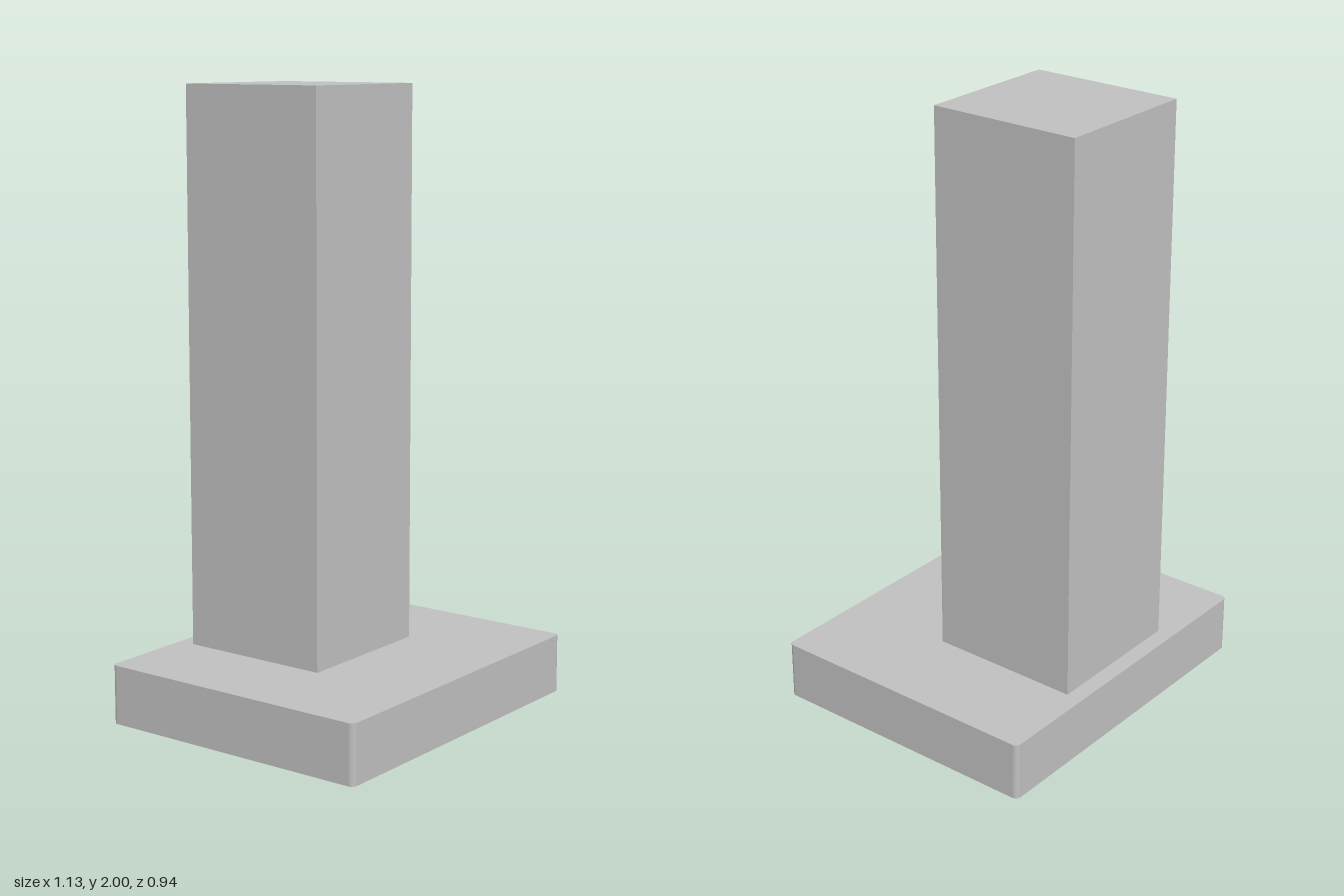
import * as THREE from 'three';

const steel = new THREE.MeshStandardMaterial({ color: 0xc0c0c0 });
steel.name = 'brushed steel';
const dark = new THREE.MeshStandardMaterial({ color: 0x333333 });
dark.name = 'dark filter';

// Box given by its limits on each axis
function box(name, material, [x0, x1], [y0, y1], [z0, z1]) {
  const mesh = new THREE.Mesh(new THREE.BoxGeometry(x1 - x0, y1 - y0, z1 - z0), material);
  mesh.position.set((x0 + x1) / 2, (y0 + y1) / 2, (z0 + z1) / 2);
  mesh.name = name;
  return mesh;
}

// Flat slab with rounded vertical corners, resting on y = 0
function roundedSlab(w, d, h, r) {
  const x = w / 2 - r, z = d / 2 - r;
  const shape = new THREE.Shape();
  shape.absarc(x, z, r, 0, Math.PI / 2);
  shape.absarc(-x, z, r, Math.PI / 2, Math.PI);
  shape.absarc(-x, -z, r, Math.PI, Math.PI * 1.5);
  shape.absarc(x, -z, r, Math.PI * 1.5, Math.PI * 2);
  const geometry = new THREE.ExtrudeGeometry(shape, { depth: h, bevelEnabled: false, curveSegments: 6 });
  return geometry.rotateX(-Math.PI / 2);
}

export function createModel() {
  const group = new THREE.Group();
  group.name = 'rangeHood';

  // Wide canopy
  const canopy = new THREE.Mesh(roundedSlab(1.13, 0.94, 0.19, 0.018), steel);
  canopy.position.y = 0.021;
  canopy.name = 'canopy';
  group.add(canopy);

  // Flue rising from the rear of the canopy
  group.add(box('chimney', steel, [-0.245, 0.245], [0.211, 2], [-0.415, 0.092]));

  // Filter panel and small control underneath
  group.add(box('filterPanel', dark, [-0.507, 0.507], [0.012, 0.021], [-0.413, 0.413]));
  group.add(box('controlButton', steel, [-0.382, -0.268], [0, 0.012], [0.283, 0.383]));

  return group;
}
